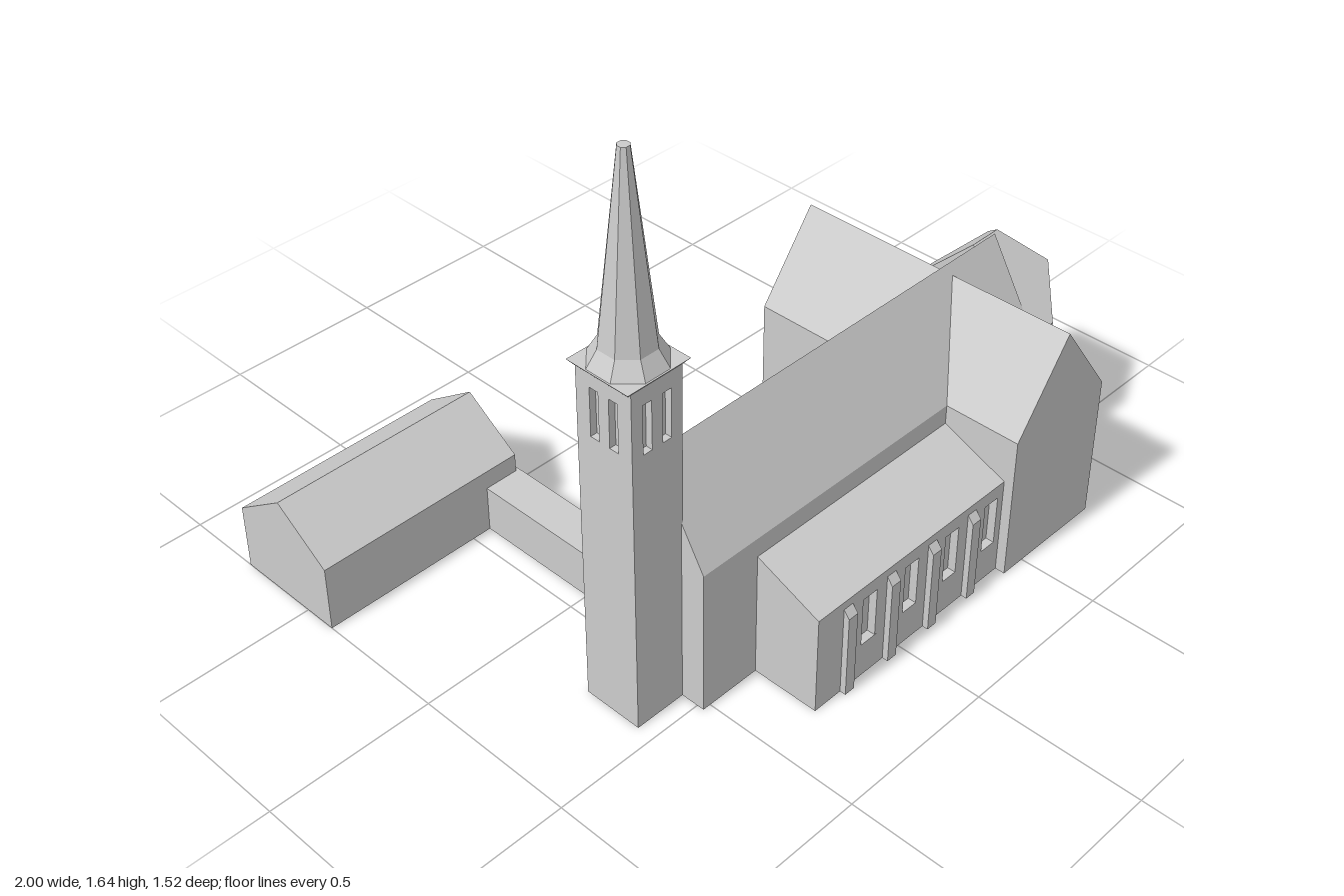
import * as THREE from 'three';
import { ConvexGeometry } from 'three/addons/geometries/ConvexGeometry.js';

const stone = new THREE.MeshStandardMaterial({ color: 0xcccccc });
stone.name = 'stone';

export function createModel() {
  const model = new THREE.Group();
  model.name = 'church';

  const add = (name, geometry) => {
    const mesh = new THREE.Mesh(geometry, stone);
    mesh.name = name;
    model.add(mesh);
    return mesh;
  };
  const box = (name, x0, x1, y0, y1, z0, z1) =>
    add(name, new THREE.BoxGeometry(x1 - x0, y1 - y0, z1 - z0)
      .translate((x0 + x1) / 2, (y0 + y1) / 2, (z0 + z1) / 2));
  const extrude = (points, depth) => new THREE.ExtrudeGeometry(
    new THREE.Shape(points.map(([a, b]) => new THREE.Vector2(a, b))), { depth, bevelEnabled: false });
  // A [z, y] profile swept along x
  const alongX = (name, profile, x0, x1) =>
    add(name, extrude(profile.map(([z, y]) => [-z, y]), x1 - x0).rotateY(Math.PI / 2).translate(x0, 0, 0));
  // A [x, y] profile swept along z
  const alongZ = (name, profile, z0, z1) => add(name, extrude(profile, z1 - z0).translate(0, 0, z0));
  const gable = (a, b, wall, ridge) => [[a, 0], [b, 0], [b, wall], [(a + b) / 2, ridge], [a, wall]];

  // Wall slab facing +z with rectangular window openings, front face at z = 0
  const windowWall = (x0, x1, y0, y1, thick, centres, width, sill, head) => {
    const rect = (Type, l, r, b, t) => new Type(
      [[l, b], [r, b], [r, t], [l, t]].map(([x, y]) => new THREE.Vector2(x, y)));
    const shape = rect(THREE.Shape, x0, x1, y0, y1);
    centres.forEach(c => shape.holes.push(rect(THREE.Path, c - width / 2, c + width / 2, sill, head)));
    return new THREE.ExtrudeGeometry(shape, { depth: thick, bevelEnabled: false }).translate(0, 0, -thick);
  };

  // Main body
  alongX('nave', gable(0.179, 0.522, 0.455, 0.745), -0.525, 0.817);
  alongZ('transept', gable(0.42, 0.8, 0.455, 0.715), -0.147, 0.76);

  // Chancel with chamfered end and hipped roof
  const h = 0.217, c = 0.107, zc = 0.307, eave = 0.49, ridge = 0.705;
  const endEave = eave + (ridge - eave) * (h - c) / h;
  const corners = [[0.78, ridge, 0], [0.89, ridge, 0]];
  for (const s of [-1, 1]) {
    corners.push([0.78, 0, s * h], [0.89, 0, s * h], [1, 0, s * c],
      [0.78, eave, s * h], [0.89, eave, s * h], [1, endEave, s * c]);
  }
  add('chancel', new ConvexGeometry(corners.map(([x, y, z]) => new THREE.Vector3(x, y, zc + z))));

  // Lean-to aisles, the front one with recessed windows
  const ax0 = -0.33, ax1 = 0.43, recess = 0.025;
  alongX('backAisle', [[0.2, 0], [0.2, 0.395], [0.179, 0.395], [-0.029, 0.31], [-0.029, 0]], ax0, ax1);
  const slope = (0.395 - 0.31) / 0.208, inner = 0.73 - recess;
  alongX('frontAisle', [[0.5, 0], [0.5, 0.395], [0.522, 0.395],
    [inner, 0.31 + slope * recess], [inner, 0]], ax0, ax1);
  alongX('frontAisleEave', [[inner, 0.3], [0.73, 0.3], [0.73, 0.31], [inner, 0.31 + slope * recess]], ax0, ax1);
  add('frontAisleWall', windowWall(ax0, ax1, 0, 0.3, recess,
    [-0.13, 0.037, 0.203, 0.37], 0.054, 0.11, 0.267)).position.z = 0.73;

  // Buttresses with sloping tops
  for (const x of [-0.216, -0.047, 0.119, 0.285]) {
    for (const [name, wall, out] of [['frontButtress', 0.73, 0.748], ['backButtress', -0.029, -0.066]]) {
      alongX(name, [[wall, 0], [out, 0], [out, 0.262], [wall, 0.285]], x - 0.017, x + 0.017);
    }
  }

  // Tower: core with window walls on three sides
  const tx = -0.602, tz = 0.355, half = 0.083, halfZ = 0.092, top = 1.06, belfry = 0.82, t = 0.02;
  box('towerBase', tx - half, tx + half, 0, belfry, tz - halfZ, tz + halfZ);
  box('towerCore', tx - half + t, tx + half, belfry, top, tz - halfZ + t, tz + halfZ - t);
  [[0, half, halfZ], [Math.PI, half, halfZ], [-Math.PI / 2, halfZ, half]].forEach(([turn, w, reach]) => {
    const wall = add('belfryWall', windowWall(-w, w, belfry, top, t, [-0.032, 0.032], 0.029, 0.865, 1.01));
    wall.rotation.y = turn;
    wall.position.set(tx + Math.sin(turn) * reach, 0, tz + Math.cos(turn) * reach);
  });

  // Flat-sided tapered prism sized across its flats
  const taper = (name, sides, rTop, rBottom, y0, y1) => {
    const k = 1 / Math.cos(Math.PI / sides);
    const g = new THREE.CylinderGeometry(rTop * k, rBottom * k, y1 - y0, sides).toNonIndexed();
    g.computeVertexNormals();
    add(name, g.rotateY(Math.PI / sides).translate(tx, (y0 + y1) / 2, tz));
  };
  taper('towerCornice', 4, 0.102, 0.088, 1.055, 1.072);
  taper('spireFlare', 8, 0.071, 0.097, 1.072, 1.12);
  taper('spire', 8, 0.015, 0.071, 1.12, 1.645);

  // Rear hall and its linking passage
  alongX('hall', gable(-0.76, -0.398, 0.205, 0.33), -1, -0.332);
  box('passage', -0.44, -0.32, 0, 0.147, -0.418, 0.05);

  return model;
}
